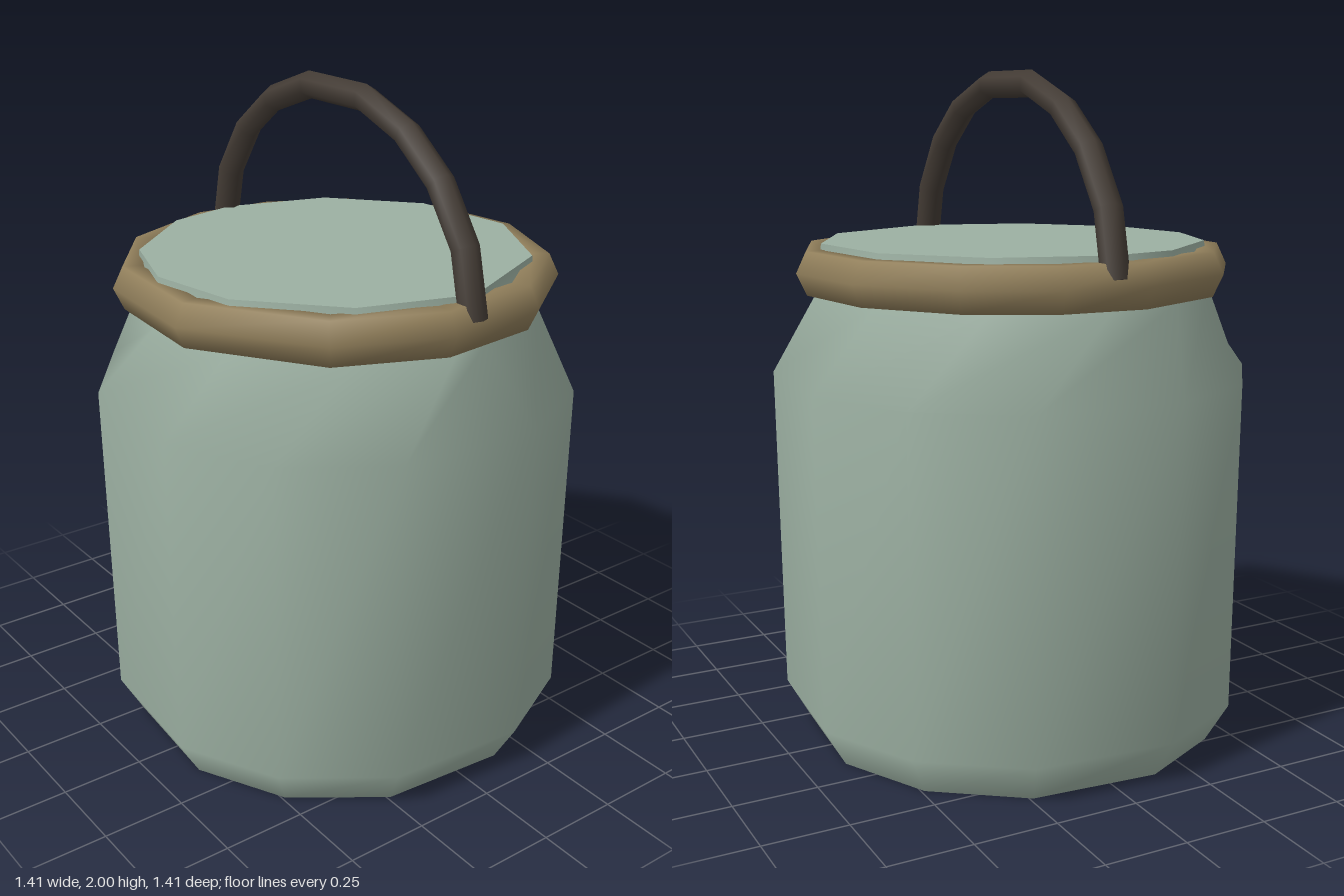
import * as THREE from 'three';
import { mergeGeometries } from 'three/addons/utils/BufferGeometryUtils.js';

const rad = THREE.MathUtils.degToRad;

// Horizontal cross-section at height y with corners at the given angles
const ring = (angles, r, y) =>
  angles.map((a) => new THREE.Vector3(r * Math.cos(rad(a)), y, -r * Math.sin(rad(a))));

// Smooth skin through a list of cross-sections; closed joins the last to the first
function loft(rings, closed = false) {
  const n = rings[0].length, m = rings.length, index = [];
  for (let i = 0; i < (closed ? m : m - 1); i++) {
    for (let j = 0; j < n; j++) {
      const k = (j + 1) % n, up = (i + 1) % m;
      const a = i * n + j, b = i * n + k, c = up * n + k, d = up * n + j;
      index.push(a, b, c, a, c, d);
    }
  }
  const g = new THREE.BufferGeometry().setFromPoints(rings.flat());
  g.setIndex(index);
  g.computeVertexNormals();
  return g;
}

// Flat end face of a cross-section
function cap(points, facingBack) {
  const index = [];
  for (let j = 1; j < points.length - 1; j++) {
    index.push(...(facingBack ? [0, j + 1, j] : [0, j, j + 1]));
  }
  const g = new THREE.BufferGeometry().setFromPoints(points);
  g.setIndex(index);
  g.computeVertexNormals();
  return g;
}

const capped = (rings) =>
  mergeGeometries([loft(rings), cap(rings[0], true), cap(rings[rings.length - 1], false)]);

function material(name, color) {
  const m = new THREE.MeshStandardMaterial({ color });
  m.name = name;
  return m;
}

export function createModel() {
  const group = new THREE.Group();
  group.name = 'jar';
  const add = (name, geometry, mat) => {
    const mesh = new THREE.Mesh(geometry, mat);
    mesh.name = name;
    group.add(mesh);
  };
  const glaze = material('pale green glaze', 0x9cb0a2);
  const tan = material('tan band', 0x917f5b);
  const dark = material('dark handle', 0x443c35);

  // Jar body: slightly uneven twelve-sided wall, chamfered foot, shoulder and neck
  const bodyAngles = [0, 90, 180, 270].flatMap((q) => [13 + q, 40 + q, 68 + q]);
  const neckAngles = [7, 43.6, 79, 113.5, 147, 180, 203.4, 237, 265, 294, 328.5, 357];
  add('jarBody', capped([
    ring(bodyAngles, 0.64, 0),
    ring(bodyAngles, 0.71, 0.12),
    ring(bodyAngles, 0.722, 1.11),
    ring(neckAngles, 0.595, 1.36),
    ring(neckAngles, 0.577, 1.505),
  ]), glaze);

  // Rim band: hexagonal section swept around the neck
  const bandAngles = [21.5, 51.7, 83, 112, 140.5, 165, 188, 219, 247.4, 283, 322, 352];
  const bandProfile = [
    [0.66, 1.425], [0.63, 1.488], [0.575, 1.488], [0.54, 1.425], [0.575, 1.36], [0.63, 1.36],
  ];
  add('rimBand', loft(bandProfile.map(([r, y]) => ring(bandAngles, r, y)), true), tan);

  // Handle: hexagonal rod bent into an arch
  const half = [[-0.61, 1.44], [-0.567, 1.63], [-0.46, 1.785], [-0.317, 1.893], [-0.13, 1.96]];
  const path = [...half, ...half.slice().reverse().map(([x, y]) => [-x, y])]
    .map(([x, y]) => new THREE.Vector2(x, y));
  const rod = path.map((p, i) => {
    const t = path[Math.min(i + 1, path.length - 1)].clone()
      .sub(path[Math.max(i - 1, 0)]).normalize();
    return [0, 60, 120, 180, 240, 300].map((a) => {
      const u = 0.04 * Math.cos(rad(a)), v = 0.04 * Math.sin(rad(a));
      return new THREE.Vector3(p.x - t.y * u, p.y + t.x * u, v - 0.004);
    });
  });
  add('handle', capped(rod), dark);

  return group;
}
